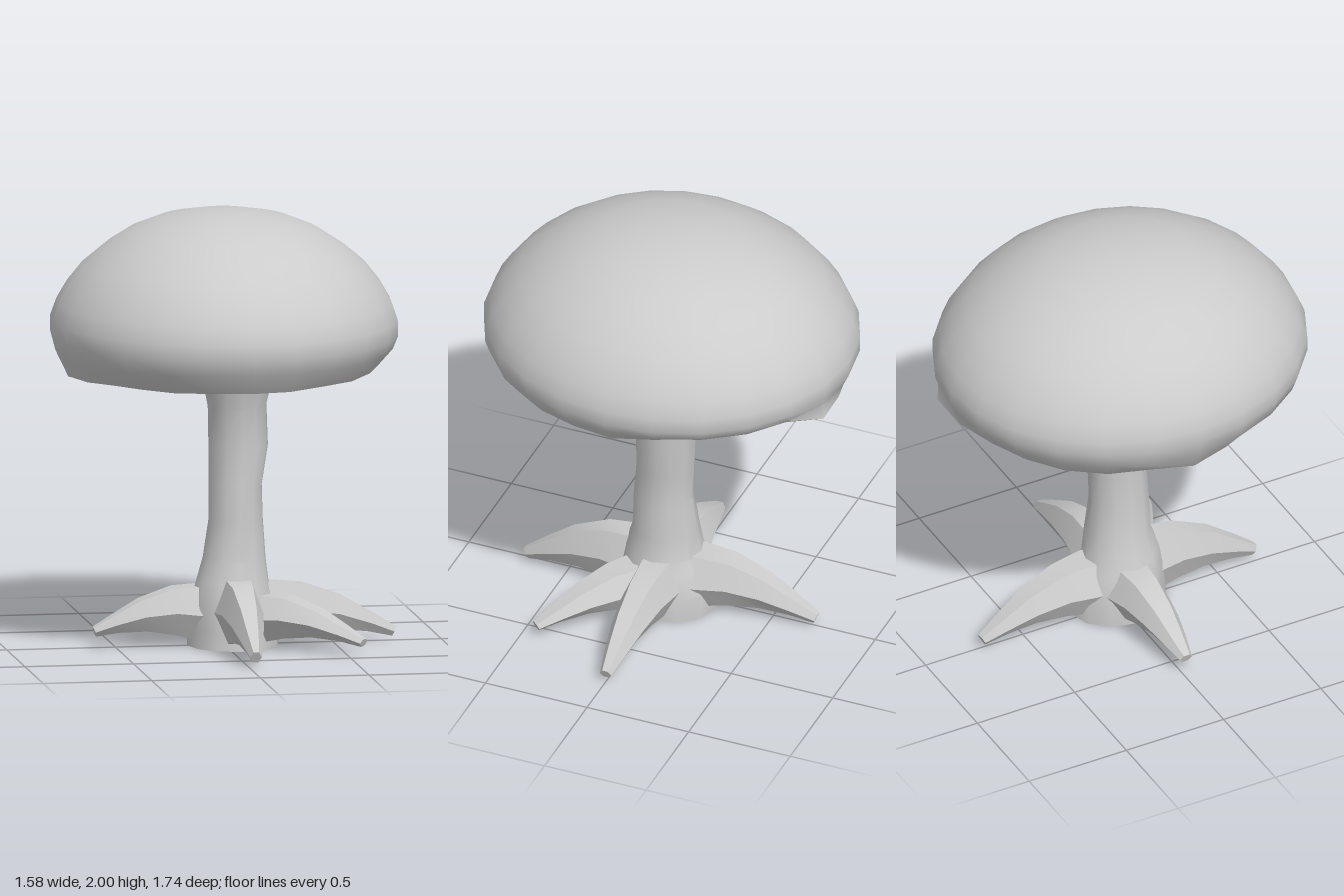
import * as THREE from 'three';
import { toCreasedNormals } from 'three/addons/utils/BufferGeometryUtils.js';

const V = (x, y, z) => new THREE.Vector3(x, y, z);
const material = new THREE.MeshStandardMaterial({ color: 0xcccccc });

function addMesh(parent, geometry, name, crease = 0.7) {
  const mesh = new THREE.Mesh(toCreasedNormals(geometry, crease), material);
  mesh.name = name;
  parent.add(mesh);
}

// Skins elliptical rings along a path; sizes are [half width, half height] per ring
function loft(path, sizes, sides, ref = V(0, 1, 0)) {
  const pos = [], index = [], n = path.length;
  path.forEach((c, i) => {
    const t = path[Math.min(i + 1, n - 1)].clone().sub(path[Math.max(i - 1, 0)]).normalize();
    const side = ref.clone().cross(t).normalize();
    const up = t.clone().cross(side);
    for (let j = 0; j < sides; j++) {
      const a = (j / sides) * Math.PI * 2;
      const p = c.clone().addScaledVector(side, sizes[i][0] * Math.cos(a)).addScaledVector(up, sizes[i][1] * Math.sin(a));
      pos.push(p.x, p.y, p.z);
    }
  });
  for (let i = 0; i < n - 1; i++) {
    for (let j = 0; j < sides; j++) {
      const k = (j + 1) % sides;
      const a = i * sides + j, b = i * sides + k, c = b + sides, d = a + sides;
      index.push(a, b, c, a, c, d);
    }
  }
  const last = (n - 1) * sides;
  for (let j = 1; j < sides - 1; j++) {
    index.push(0, j + 1, j, last, last + j, last + j + 1);
  }
  const geometry = new THREE.BufferGeometry();
  geometry.setAttribute('position', new THREE.Float32BufferAttribute(pos, 3));
  geometry.setIndex(index);
  return geometry;
}

// Height of the slightly tilted underside and the branches that follow it
const tilt = (x, z) => 0.03 * (x - z);

// Oval dome with an uneven rim and a shallow underside
function capGeometry() {
  const profile = [
    [0, 1.34], [0.4, 1.33], [0.7, 1.315], [0.89, 1.27],
    [0.97, 1.36], [1, 1.43], [1, 1.5], [0.963, 1.58], [0.905, 1.66], [0.815, 1.75], [0.695, 1.83],
    [0.55, 1.905], [0.38, 1.96], [0.19, 1.99], [0, 2],
  ];
  // Rim height and reach, counted from the front towards the left
  const rim = [
    1.27, 1.27, 1.28, 1.28, 1.29, 1.3, 1.31, 1.32, 1.32, 1.32, 1.33, 1.31,
    1.3, 1.29, 1.28, 1.27, 1.25, 1.22, 1.25, 1.25, 1.26, 1.26, 1.26, 1.27,
  ];
  const reach = [
    1.01, 1, 1, 1, 1, 1, 1.02, 0.98, 0.95, 0.94, 0.98, 1.11,
    1.06, 1.01, 1, 1, 0.97, 0.9, 1.02, 0.97, 0.94, 0.93, 0.95, 1,
  ];
  const sides = rim.length, rows = profile.length;
  const geometry = new THREE.LatheGeometry(profile.map(([r, y]) => new THREE.Vector2(r, y)), sides);
  const p = geometry.attributes.position;
  for (let i = 0; i <= sides; i++) {
    const k = i % sides;
    for (let j = 0; j < rows; j++) {
      const v = i * rows + j;
      const wide = j === 3 ? reach[k] : 1;
      const x = p.getX(v) * 0.79 * wide, z = p.getZ(v) * 0.87 * wide;
      const shift = j < 3 ? tilt(x, z) : j === 3 ? rim[k] - 1.27 : j === 4 ? (rim[k] - 1.27) * 0.4 : 0;
      p.setXYZ(v, x, p.getY(v) + shift, z);
    }
  }
  return geometry;
}

export function createModel() {
  const model = new THREE.Group();
  model.name = 'mushroomTree';
  addMesh(model, capGeometry(), 'cap', 0.75);

  // Trunk rings: y, centre x, centre z, half width, half depth
  const rings = [
    [0, 0.04, 0, 0.21, 0.235], [0.1, 0.04, 0, 0.21, 0.23], [0.2, 0.035, 0.015, 0.195, 0.205],
    [0.29, 0.035, 0.02, 0.168, 0.18], [0.4, 0.045, 0.01, 0.145, 0.155], [0.58, 0.05, 0.02, 0.125, 0.14],
    [0.74, 0.05, 0.01, 0.122, 0.137], [0.92, 0.065, 0, 0.137, 0.14], [1.1, 0.06, 0, 0.135, 0.15],
    [1.19, 0.06, 0.01, 0.155, 0.165], [1.28, 0.06, 0.01, 0.17, 0.18], [1.35, 0.06, 0.01, 0.21, 0.22],
  ];
  addMesh(model, loft(
    rings.map(([y, x, z]) => V(x, y, z)),
    rings.map(([, , , w, d]) => [w, d]),
    12, V(0, 0, 1),
  ), 'trunk', 0.6);

  // Roots: tip x, tip z, crest height, half width, tip lift
  const roots = new THREE.Group();
  roots.name = 'roots';
  model.add(roots);
  const rootSpecs = [
    [0.03, 0.7, 0.32, 0.095, 0], [0.57, 0.43, 0.245, 0.11, 0.02], [0.78, 0, 0.285, 0.1, 0],
    [0, -0.71, 0.29, 0.11, 0], [-0.6, 0.02, 0.275, 0.11, 0.035],
  ];
  // Root stations: share of reach, top as share of crest, underside height, width share
  const stations = [
    [0, 1, 0.02, 1.3], [0.24, 1, 0.025, 1.2], [0.43, 0.96, 0.05, 1],
    [0.65, 0.75, 0.06, 0.78], [0.85, 0.46, 0.045, 0.52], [1, 0.23, 0.02, 0.28],
  ];
  for (const [x, z, crest, width, lift] of rootSpecs) {
    const path = [], sizes = [];
    for (const [s, top, low, w] of stations) {
      const high = top * crest;
      path.push(V(0.04 + (x - 0.04) * s, (high + low) / 2 + lift * s * s, z * s));
      sizes.push([width * w, (high - low) / 2 / 0.87]);
    }
    addMesh(roots, loft(path, sizes, 6), 'root', 0.45);
  }

  // Branches fan out under the cap, each forking into wavy twigs
  const branches = new THREE.Group();
  branches.name = 'branches';
  model.add(branches);
  const at = (angle, r, y) => {
    const x = Math.sin(angle) * r * 0.94, z = Math.cos(angle) * r;
    return V(0.05 + x, y + tilt(x, z), 0.01 + z);
  };
  const count = 7;
  for (let i = 0; i < count; i++) {
    const angle = (i / count) * Math.PI * 2;
    const reach = 0.42 + 0.05 * Math.sin(i * 2.3);
    const sway = 0.1 * Math.cos(i * 1.7);
    addMesh(branches, loft(
      [at(angle, 0.08, 1.2), at(angle, 0.2, 1.24), at(angle + sway, 0.3, 1.275), at(angle + sway / 2, reach, 1.3)],
      [[0.065, 0.05], [0.05, 0.04], [0.034, 0.028], [0.015, 0.015]], 6,
    ), 'branch');
    for (const f of [-1, 0, 1]) {
      const start = f === 0 ? reach - 0.05 : 0.25;
      const end = 0.61 + 0.05 * Math.sin(i * 3.1 + f * 2);
      const heading = (t) => angle + sway / 2 + f * 0.36 * t + 0.09 * Math.sin(t * 7 + i + f) * t;
      const path = [], sizes = [];
      for (let k = 0; k <= 5; k++) {
        const t = k / 5;
        path.push(at(heading(t), start + (end - start) * t, 1.28 + 0.025 * t));
        sizes.push([0.022 - 0.015 * t, 0.02 - 0.013 * t]);
      }
      addMesh(branches, loft(path, sizes, 5), 'twig');
      // Small side shoot near the end of each twig
      const a = heading(0.6), r = start + (end - start) * 0.6;
      addMesh(branches, loft(
        [at(a, r, 1.295), at(a + 0.11, r + 0.05, 1.298), at(a + 0.13, r + 0.12, 1.302)],
        [[0.013, 0.012], [0.01, 0.01], [0.005, 0.005]], 4,
      ), 'shoot');
    }
  }
  return model;
}
